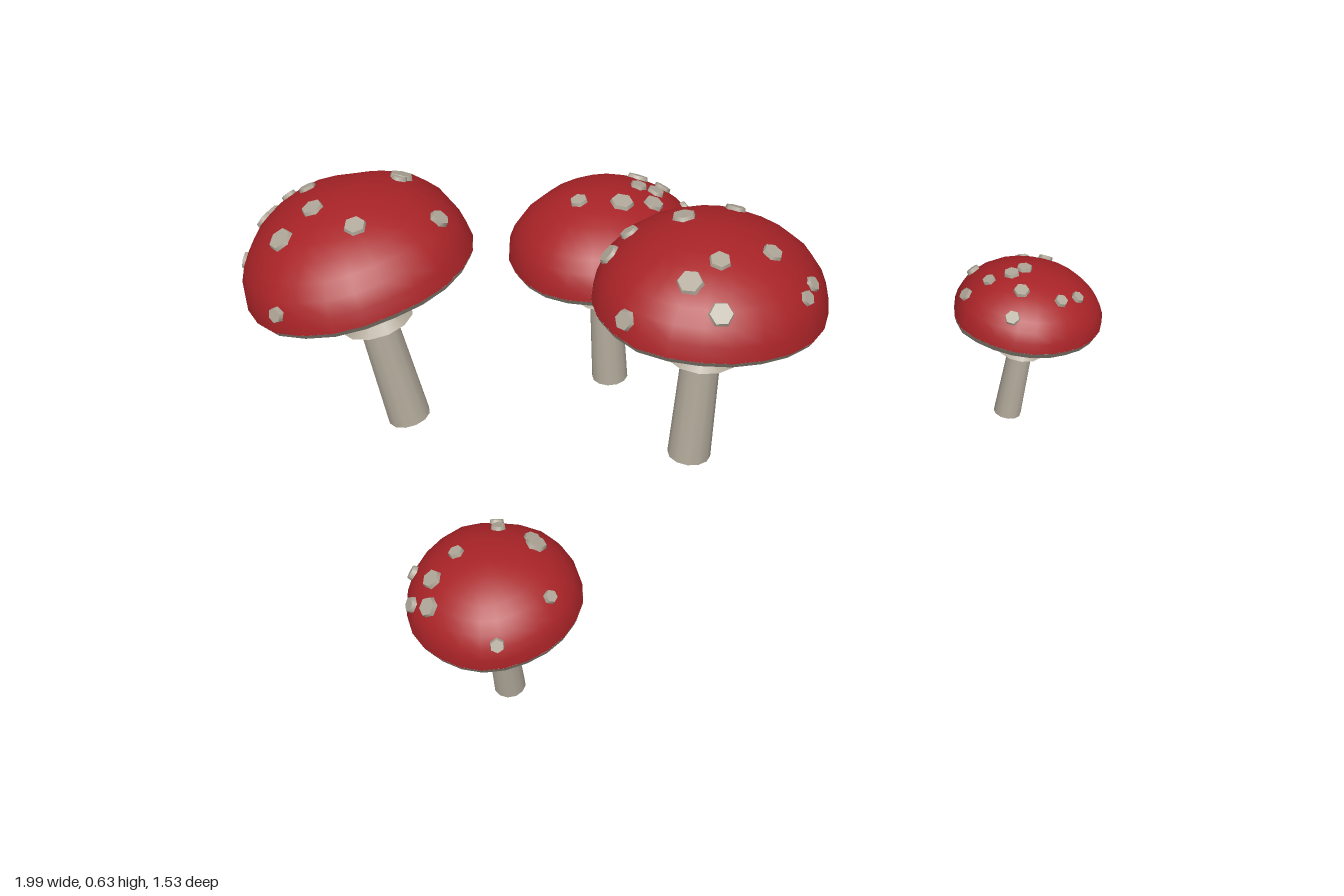
import * as THREE from 'three';
import { mergeVertices } from 'three/addons/utils/BufferGeometryUtils.js';

const red = new THREE.MeshStandardMaterial({ color: 0xa82327 });
red.name = 'cap red';
const beige = new THREE.MeshStandardMaterial({ color: 0xb0a899, side: THREE.DoubleSide });
beige.name = 'stem beige';

const UP = new THREE.Vector3(0, 1, 0);
const SEGMENTS = 24;
const DOME = 0.7; // dome height relative to cap radius

// Radius of an uneven outline, given as 12 radii at 30 degree steps from +x towards +z
function outlineRadius(radii, x, z) {
  const n = radii.length;
  const t = ((Math.atan2(z, x) / (Math.PI * 2) + 1) % 1) * n;
  const i = Math.floor(t) % n;
  return THREE.MathUtils.lerp(radii[i], radii[(i + 1) % n], t - Math.floor(t));
}

// Stretch a unit-radius geometry to the outline
function fitOutline(geometry, radii, heightScale) {
  const p = geometry.attributes.position;
  for (let i = 0; i < p.count; i++) {
    const x = p.getX(i), z = p.getZ(i);
    const r = outlineRadius(radii, x, z);
    p.setXYZ(i, x * r, p.getY(i) * heightScale, z * r);
  }
  return geometry;
}

function mesh(name, geometry, material) {
  const m = new THREE.Mesh(geometry, material);
  m.name = name;
  return m;
}

// spots: [x offset, z offset, radius] seen from above, in hundredths
function mushroom({ name, base, cap, radius, outline, spots }) {
  const group = new THREE.Group();
  group.name = name;
  const foot = new THREE.Vector3(...base);
  const axis = new THREE.Vector3(...cap).sub(foot);
  const length = axis.length();
  const tilt = new THREE.Quaternion().setFromUnitVectors(UP, axis.normalize());
  group.position.copy(foot);
  group.quaternion.copy(tilt);
  const height = radius * DOME;
  const radii = outline.map((v) => (v / 100) * radius);

  // Tapered stem, open at the foot
  const stem = mesh('stem', new THREE.CylinderGeometry(radius * 0.155, radius * 0.19, length, 12, 1, true), beige);
  stem.position.y = length / 2;

  // Skirt around the stem
  const skirtProfile = [[0.16, 0.61], [0.325, 0.665], [0.15, 0.77]]
    .map(([r, y]) => new THREE.Vector2(r * radius, y * length));
  skirtProfile.splice(1, 0, skirtProfile[1].clone()); // sharp edge
  const skirt = mesh('skirt', new THREE.LatheGeometry(skirtProfile, 12), beige);

  // Flat underside with a thin lip
  const gills = mesh('gills', fitOutline(new THREE.CylinderGeometry(1, 0.97, 0.014, SEGMENTS), radii, 1), beige);
  gills.position.y = length;

  // Smooth uneven dome
  let dome = new THREE.SphereGeometry(1, SEGMENTS, 8, 0, Math.PI * 2, 0, Math.PI / 2);
  dome.deleteAttribute('uv');
  dome.deleteAttribute('normal');
  dome = mergeVertices(fitOutline(dome, radii, height));
  dome.computeVertexNormals();
  const capMesh = mesh('cap', dome, red);
  capMesh.position.y = length + 0.006;
  group.add(stem, skirt, gills, capMesh);

  // Hexagonal spots lying on the dome
  const surface = (x, z) => {
    const r = outlineRadius(radii, x, z);
    const rho = Math.min(Math.hypot(x, z) / r, 0.97);
    const a = Math.atan2(z, x);
    return new THREE.Vector3(Math.cos(a) * rho * r, height * Math.sqrt(1 - rho * rho), Math.sin(a) * rho * r);
  };
  spots.forEach(([sx, sz, size], i) => {
    let x = sx / 100, z = sz / 100;
    let point = surface(x, z);
    for (let k = 0; k < 8; k++) { // undo the tilt so the spot lands where intended
      const seen = point.clone().applyQuaternion(tilt);
      x = point.x + (sx / 100 - seen.x) * 0.7;
      z = point.z + (sz / 100 - seen.z) * 0.7;
      point = surface(x, z);
    }
    const normal = new THREE.Vector3(point.x / radius ** 2, point.y / height ** 2, point.z / radius ** 2).normalize();
    const r = size / 100;
    const spot = mesh('spot', new THREE.CylinderGeometry(r * 0.85, r, 0.014, 6), beige);
    spot.quaternion.setFromUnitVectors(UP, normal)
      .multiply(new THREE.Quaternion().setFromAxisAngle(UP, i * 1.3));
    spot.position.copy(point).add(capMesh.position);
    group.add(spot);
  });
  return group;
}

export function createModel() {
  const model = new THREE.Group();
  model.name = 'mushrooms';

  model.add(mushroom({
    name: 'rightLargeMushroom', base: [-0.635, 0.012, -0.33], cap: [-0.72, 0.43, -0.335], radius: 0.27,
    outline: [101, 100, 98, 103, 105, 100, 98, 103, 108, 99, 105, 99],
    spots: [[-12, -8, 2.2], [9, -12, 3], [-8, 4, 2.8], [-14, 11, 3.2], [3, 11, 2.8], [20, 2, 2.4],
      [-23, -8, 2.6], [-18, -13, 2], [-2, -25, 2.4], [-22, -12, 2.2], [-14, 26, 2], [-26, 0, 2.4], [9, -10, 2]],
  }));

  model.add(mushroom({
    name: 'backMushroom', base: [-0.17, 0.012, -0.53], cap: [-0.18, 0.37, -0.54], radius: 0.23,
    outline: [98, 98, 100, 102, 102, 98, 98, 92, 95, 98, 98, 100],
    spots: [[7, -13, 3], [-5, 4, 2.3], [5, 4, 3], [12, 1, 2.6], [12, -5, 2.3], [8, -5, 2.2],
      [13, -11, 2.2], [19, -8, 2.4], [4, -20, 2.2], [-3, -21, 2.2]],
  }));

  model.add(mushroom({
    name: 'centreLargeMushroom', base: [0.047, 0.012, -0.24], cap: [0.085, 0.43, -0.267], radius: 0.268,
    outline: [101, 102, 100, 101, 106, 102, 97, 97, 97, 100, 101, 103],
    spots: [[-6, -5, 3], [5, -14, 2.6], [-18, -4, 2.4], [-22, 1, 2.8], [14, 4, 2.6], [3, 11, 2.7],
      [-3, 17, 3.2], [4, 22, 3], [-17, 21, 2.6], [23, 5, 2], [22, 10, 2]],
  }));

  model.add(mushroom({
    name: 'frontSmallMushroom', base: [-0.265, 0.012, 0.55], cap: [-0.277, 0.28, 0.592], radius: 0.172,
    outline: [102, 99, 97, 99, 98, 100, 100, 102, 105, 99, 102, 102],
    spots: [[-1, -13, 1.6], [0, -9, 1.7], [8, -5, 2.3], [-7, -1, 1.7], [-11, 4, 2.2], [-15, 6, 1.8],
      [-11, 9, 2.2], [12, 6, 1.5], [-16, -2, 1.7], [3, 15.5, 1.6], [7, -6.5, 1.8]],
  }));

  model.add(mushroom({
    name: 'leftSmallMushroom', base: [0.803, 0.012, -0.465], cap: [0.822, 0.285, -0.475], radius: 0.171,
    outline: [101, 97, 96, 100, 103, 108, 101, 103, 103, 101, 101, 100],
    spots: [[-13, -7, 1.8], [-1, -15, 1.7], [4, -12, 1.8], [-2, -1, 2], [-5, 1, 2], [-10, 2, 1.7],
      [-3, 7, 2], [6, 8, 1.7], [10, 5, 1.6], [-5, 13, 1.9], [-15, 3, 1.8]],
  }));

  return model;
}
